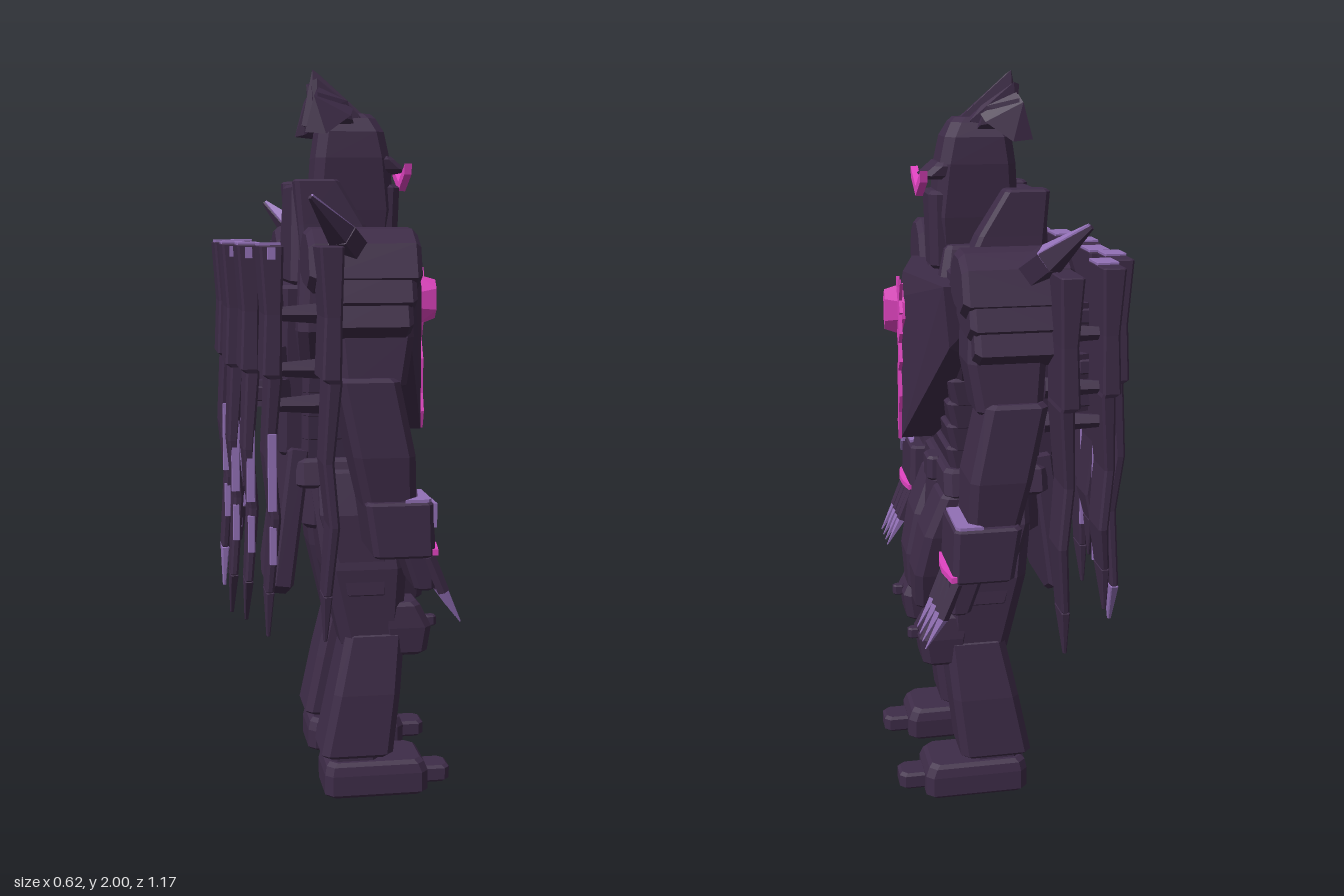
import * as THREE from 'three';
import { ConvexGeometry } from 'three/addons/geometries/ConvexGeometry.js';

const mat = (name, color) => Object.assign(new THREE.MeshStandardMaterial({ color, flatShading: true }), { name });
const V = (a) => new THREE.Vector3(...a);

// The figure faces +x, its arms spread along z.
export function createModel() {
  const armor = mat('dark purple armour', 0x3e2c48);
  const lilac = mat('lilac edges', 0x9270b6);
  const glow = mat('magenta glow', 0xe244c2);
  const model = new THREE.Group();

  function add(name, geo, m = armor) {
    const g = geo.index ? geo.toNonIndexed() : geo;
    g.computeVertexNormals();
    const mesh = new THREE.Mesh(g, m);
    mesh.name = name;
    model.add(mesh);
  }

  // Adds a part and its reflection across z = 0
  function pair(name, geo, m = armor) {
    const g = geo.index ? geo.toNonIndexed() : geo;
    const r = g.clone().scale(1, 1, -1);
    const p = r.attributes.position, a = new THREE.Vector3(), b = new THREE.Vector3();
    for (let i = 0; i < p.count; i += 3) {
      a.fromBufferAttribute(p, i + 1);
      b.fromBufferAttribute(p, i + 2);
      p.setXYZ(i + 1, b.x, b.y, b.z);
      p.setXYZ(i + 2, a.x, a.y, a.z);
    }
    add(name + 'Left', r, m);
    add(name + 'Right', g, m);
  }

  // Chamfered block through rising sections [y, x0, x1, z0, z1]
  function loft(rows, c = 0.02) {
    const inset = ([y, x0, x1, z0, z1]) => [y, x0 + c / 2, x1 - c / 2, z0 + c / 2, z1 - c / 2];
    const first = rows[0], last = rows[rows.length - 1], e = c / 2;
    const all = [inset(first), [first[0] + e, ...first.slice(1)], ...rows.slice(1, -1),
      [last[0] - e, ...last.slice(1)], inset(last)];
    const pos = [], idx = [];
    for (const [y, x0, x1, z0, z1] of all) {
      const k = Math.min(c, (x1 - x0) * 0.3, (z1 - z0) * 0.3);
      for (const [x, z] of [[x1, z0 + k], [x1, z1 - k], [x1 - k, z1], [x0 + k, z1],
        [x0, z1 - k], [x0, z0 + k], [x0 + k, z0], [x1 - k, z0]]) pos.push(x, y, z);
    }
    for (let r = 0; r < all.length - 1; r++) for (let i = 0; i < 8; i++) {
      const a = r * 8 + i, b = r * 8 + (i + 1) % 8;
      idx.push(a, a + 8, b, b, a + 8, b + 8);
    }
    const t = (all.length - 1) * 8;
    for (let i = 1; i < 7; i++) idx.push(t, t + i + 1, t + i, 0, i, i + 1);
    const g = new THREE.BufferGeometry();
    g.setAttribute('position', new THREE.Float32BufferAttribute(pos, 3));
    g.setIndex(idx);
    return g;
  }
  const box = (x0, x1, y0, y1, z0, z1, c = 0.015) => loft([[y0, x0, x1, z0, z1], [y1, x0, x1, z0, z1]], c);
  const hull = (points) => new ConvexGeometry(points.map(V));

  // Outline in (z, y), given thickness from x0 to x1
  function plateZY(points, x0, x1, bevel = 0) {
    const s = new THREE.Shape(points.map(([z, y]) => new THREE.Vector2(z, y)));
    const g = new THREE.ExtrudeGeometry(s, { depth: x1 - x0 - 2 * bevel, bevelEnabled: bevel > 0,
      bevelSize: bevel, bevelThickness: bevel, bevelOffset: -bevel, bevelSegments: 1 });
    return g.rotateY(-Math.PI / 2).translate(x1 - bevel, 0, 0);
  }

  // Outline in (x, z), given height from y0 to y1
  function slabXZ(points, y0, y1) {
    const s = new THREE.Shape(points.map(([x, z]) => new THREE.Vector2(x, -z)));
    return new THREE.ExtrudeGeometry(s, { depth: y1 - y0, bevelEnabled: false }).rotateX(-Math.PI / 2).translate(0, y0, 0);
  }

  // Tapered bar between two points
  function bar(from, to, r0, r1, sides = 5) {
    const a = V(from), b = V(to), d = b.clone().sub(a);
    const g = new THREE.CylinderGeometry(r1, r0, d.length(), sides);
    g.applyQuaternion(new THREE.Quaternion().setFromUnitVectors(V([0, 1, 0]), d.normalize()));
    return g.translate(...a.add(b).multiplyScalar(0.5).toArray());
  }

  // Legs
  pair('foot', loft([[0.005, -0.05, 0.24, 0.095, 0.265], [0.07, -0.05, 0.24, 0.09, 0.265], [0.105, -0.045, 0.23, 0.095, 0.26]]));
  pair('toe', box(0.22, 0.31, 0.02, 0.068, 0.135, 0.22));
  pair('ankle', box(-0.03, 0.1, 0.09, 0.15, 0.11, 0.24));
  pair('shin', loft([[0.12, -0.06, 0.14, 0.09, 0.268], [0.3, -0.025, 0.16, 0.09, 0.262], [0.47, 0.01, 0.175, 0.092, 0.24]], 0.02));
  pair('knee', loft([[0.4, 0.12, 0.24, 0.095, 0.235], [0.48, 0.11, 0.25, 0.09, 0.24], [0.55, 0.1, 0.22, 0.1, 0.235]]));
  pair('kneeStud', box(0.24, 0.275, 0.465, 0.495, 0.15, 0.18, 0.008));
  pair('thigh', loft([[0.42, 0, 0.17, 0.085, 0.235], [0.65, -0.05, 0.18, 0.05, 0.245], [0.9, -0.08, 0.15, 0.03, 0.2]], 0.03));
  pair('frontTasset', loft([[0.53, 0.16, 0.245, 0.015, 0.135], [0.64, 0.14, 0.25, 0.012, 0.165],
    [0.76, 0.12, 0.225, 0.015, 0.19], [0.88, 0.1, 0.18, 0.03, 0.195]], 0.02));
  pair('sideTasset', loft([[0.57, 0, 0.13, 0.19, 0.245], [0.8, -0.06, 0.13, 0.18, 0.235], [0.92, -0.06, 0.1, 0.15, 0.2]]));

  // Hips and belt
  add('hips', box(-0.1, 0.15, 0.75, 0.92, -0.18, 0.18, 0.03));
  add('codpiece', loft([[0.74, 0.12, 0.2, -0.015, 0.015], [0.89, 0.1, 0.19, -0.045, 0.045]]));
  add('belt', loft([[0.87, -0.12, 0.17, -0.2, 0.2], [0.95, -0.12, 0.17, -0.185, 0.185]], 0.02));
  add('buckle', box(0.15, 0.195, 0.88, 0.95, -0.045, 0.045));
  add('backSkirt', plateZY([[-0.18, 0.6], [-0.1, 0.56], [0.1, 0.56], [0.18, 0.6], [0.17, 0.98], [-0.17, 0.98]], -0.03, 0.03, 0.01)
    .rotateZ(-0.13).translate(-0.235, 0, 0));

  // Overlapping waist bands
  for (let i = 0; i < 4; i++) {
    const y = 0.93 + i * 0.065, w = 0.17 + i * 0.008;
    add('waistBand' + (i + 1), loft([[y, -0.1, 0.145, -w + 0.006, w - 0.006], [y + 0.08, -0.1, 0.16, -w, w]], 0.015));
  }

  // Torso
  add('torso', loft([[1.15, -0.1, 0.14, -0.17, 0.17], [1.3, -0.12, 0.16, -0.25, 0.25], [1.5, -0.11, 0.15, -0.24, 0.24]], 0.025));
  const chest = [[0.25, 1.47, 0], [0.262, 1.4, 0], [0.262, 1, 0], [0.17, 1, 0]];
  for (const s of [-1, 1]) chest.push([0.185, 1.47, 0.29 * s], [0.17, 1.31, 0.285 * s], [0.16, 1.19, 0.17 * s],
    [0, 1.47, 0.26 * s], [0.02, 1.22, 0.17 * s]);
  add('chestPlate', hull(chest));

  // Glowing crack and gem on the breastbone
  add('chestCrack', plateZY([[-0.02, 1.46], [-0.03, 1.42], [-0.05, 1.455], [-0.05, 1.43], [-0.095, 1.45], [-0.065, 1.4], [-0.085, 1.37],
    [-0.055, 1.36], [-0.07, 1.31], [-0.045, 1.28], [-0.062, 1.23], [-0.03, 1.2], [-0.045, 1.13], [-0.025, 1.08], [-0.012, 1],
    [0.005, 1.05], [-0.012, 1.1], [-0.01, 1.2], [-0.035, 1.25], [-0.015, 1.3], [0, 1.34], [0, 1.4]], 0.262, 0.271), glow);
  add('chestGem', hull([[0.25, 1.44, -0.014], [0.25, 1.295, -0.014], [0.25, 1.39, 0.012], [0.25, 1.345, 0.012], [0.25, 1.39, -0.042],
    [0.25, 1.345, -0.042], [0.305, 1.425, -0.02], [0.305, 1.315, -0.02], [0.305, 1.4, 0.002], [0.305, 1.34, 0.002],
    [0.305, 1.4, -0.034], [0.305, 1.34, -0.034]]), glow);

  // Collar and back plates
  pair('collar', loft([[1.44, -0.1, 0.13, 0.07, 0.185], [1.58, -0.11, 0.07, 0.085, 0.18], [1.7, -0.12, 0, 0.1, 0.178]], 0.012));
  pair('frontCollar', loft([[1.44, 0.06, 0.17, 0.06, 0.15], [1.55, 0.06, 0.15, 0.065, 0.12]]));
  add('backCollar', loft([[1.42, -0.13, -0.06, -0.17, 0.17], [1.69, -0.12, -0.07, -0.12, 0.12]]));
  add('backPlate', loft([[0.95, -0.16, -0.08, -0.13, 0.13], [1.42, -0.16, -0.08, -0.18, 0.18]], 0.02));

  // Head
  add('neck', box(-0.05, 0.13, 1.4, 1.6, -0.06, 0.06));
  add('head', loft([[1.47, -0.04, 0.16, -0.055, 0.055], [1.62, -0.06, 0.17, -0.075, 0.075],
    [1.76, -0.05, 0.155, -0.085, 0.085], [1.83, -0.04, 0.14, -0.08, 0.08], [1.88, -0.02, 0.12, -0.06, 0.06]], 0.025));
  add('faceMask', loft([[1.48, 0.1, 0.18, -0.06, 0.06], [1.69, 0.1, 0.185, -0.07, 0.07]]));
  add('visor', loft([[1.72, 0.1, 0.2, -0.075, 0.075], [1.765, 0.1, 0.17, -0.08, 0.08]]));
  add('glowingBrow', plateZY([[-0.092, 1.745], [-0.085, 1.715], [0, 1.672], [0.085, 1.715], [0.092, 1.745], [0, 1.698]], 0.192, 0.212), glow);

  // Crown of swept plates
  add('centreCrest', hull([[0.1, 1.87, -0.012], [0.1, 1.87, 0.012], [-0.05, 1.84, -0.025], [-0.05, 1.84, 0.025],
    [0.055, 1.91, 0], [-0.05, 2, 0], [-0.035, 1.99, 0], [-0.08, 1.85, 0]]));
  pair('innerCrest', hull([[0.09, 1.86, 0.03], [0.075, 1.87, 0.06], [0.04, 1.91, 0.045], [-0.05, 1.84, 0.03],
    [-0.05, 1.84, 0.065], [-0.06, 1.965, 0.055], [-0.045, 1.97, 0.062]]));
  pair('outerCrest', hull([[0.06, 1.84, 0.055], [0.05, 1.86, 0.08], [0.035, 1.91, 0.085], [-0.045, 1.945, 0.09],
    [-0.05, 1.93, 0.105], [-0.04, 1.85, 0.07], [-0.05, 1.88, 0.11]]));
  pair('crestHook', hull([[0.05, 1.89, 0.085], [-0.05, 1.94, 0.09], [0.04, 1.87, 0.105], [-0.06, 1.92, 0.11],
    [-0.085, 1.825, 0.115], [-0.03, 1.82, 0.127], [-0.06, 1.83, 0.105]]));

  // Layered pauldrons
  [[0, 0, -0.12, 0.165], [0.012, -0.06, -0.09, 0.15], [0.018, -0.12, -0.07, 0.14]].forEach(([dz, dy, x0, x1], i) =>
    pair('pauldronLayer' + (i + 1), plateZY([[0.245, 1.46], [0.28, 1.54], [0.33, 1.575], [0.4, 1.57], [0.455, 1.535],
      [0.485, 1.45], [0.42, 1.41], [0.33, 1.42]].map(([z, y]) => [z + dz * (z > 0.4 ? 1 : 0), y + dy]), x0, x1, 0.015)));

  // Shoulder horns, lilac on the inner and front faces
  pair('hornBase', bar([0.01, 1.5, 0.41], [-0.045, 1.56, 0.475], 0.045, 0.042));
  pair('hornTip', bar([-0.045, 1.558, 0.481], [-0.13, 1.646, 0.556], 0.04, 0.006));
  pair('hornTipFace', bar([-0.043, 1.562, 0.471], [-0.125, 1.65, 0.55], 0.038, 0.005), lilac);

  // Arms
  pair('upperArm', loft([[1.17, -0.04, 0.13, 0.31, 0.465], [1.3, -0.05, 0.15, 0.29, 0.455], [1.48, -0.05, 0.14, 0.26, 0.43]], 0.02));
  pair('forearm', loft([[0.86, 0.02, 0.155, 0.3, 0.475], [1, -0.01, 0.15, 0.295, 0.49], [1.2, -0.05, 0.11, 0.305, 0.485]], 0.02));
  pair('cuff', loft([[0.74, 0.04, 0.2, 0.29, 0.5], [0.885, 0.02, 0.195, 0.295, 0.5]], 0.014));
  add('cuffTrimRight', slabXZ([[0.145, -0.32], [0.188, -0.32], [0.19, -0.48], [0.18, -0.494], [0.12, -0.494], [0.14, -0.46]].reverse(), 0.884, 0.892), lilac);
  add('cuffTrimLeft', slabXZ([[0.18, 0.35], [0.19, 0.35], [0.19, 0.48], [0.18, 0.494], [0.12, 0.494], [0.16, 0.45]], 0.884, 0.892), lilac);
  add('cuffChip', plateZY([[0.495, 0.82], [0.48, 0.855], [0.43, 0.868], [0.43, 0.882], [0.495, 0.882]], 0.194, 0.202), lilac);
  pair('cuffGlow', slabXZ([[0.19, 0.3], [0.205, 0.3], [0.215, 0.36], [0.217, 0.42], [0.205, 0.5], [0.19, 0.5]], 0.748, 0.763), glow);
  pair('hand', loft([[0.65, 0.15, 0.205, 0.32, 0.48], [0.75, 0.12, 0.2, 0.31, 0.485]], 0.012));
  [0.328, 0.375, 0.425, 0.475].forEach((z, i) => {
    pair('finger' + i, bar([0.185, 0.74, z], [0.225, 0.645, z], 0.018, 0.016));
    pair('claw' + i, bar([0.225, 0.645, z], [0.27, 0.565, z], 0.014, 0.002), lilac);
  });

  // Hanging wing blades: near z, far z, x centre, tip height, sideways sway, lilac span on top
  const blades = [[0.43, 0.585, -0.08, 0.54, -0.008], [0.3, 0.457, -0.212, 0.52, -0.01, 0.325, 0.405],
    [0.16, 0.31, -0.255, 0.52, 0.012, 0.2, 0.3], [0.01, 0.16, -0.283, 0.5, 0.01, 0.04, 0.115],
    [-0.16, -0.01, -0.262, 0.64, -0.01, -0.155, -0.06], [-0.31, -0.16, -0.283, 0.5, -0.012, -0.24, -0.165],
    [-0.457, -0.3, -0.22, 0.6, 0.01, -0.39, -0.305], [-0.585, -0.43, -0.08, 0.54, 0.008]];
  blades.forEach(([z0, z1, x, tip, sway, cap0, cap1], i) => {
    const zc = (z0 + z1) / 2;
    const row = (y, hx, hz, dx, d) => [y, x + dx - hx, x + dx + hx, zc + sway * d - hz, zc + sway * d + hz];
    add('wingBlade' + i, loft([row(tip + 0.12, 0.011, 0.042, -0.004, 1), row(0.84, 0.013, 0.056, 0.01, -0.2),
      row(1, 0.014, 0.062, -0.005, 1), row(1.2, 0.018, 0.073, 0.008, 0), row(1.21, 0.024, 0.077, 0, 0),
      row(1.36, 0.022, 0.074, 0.004, 0), row(1.53, 0.03, 0.078, 0, 0)], 0.006));
    add('wingTip' + i, loft([row(tip, 0.005, 0.006, -0.008, -1), row(tip + 0.12, 0.011, 0.042, -0.004, 1)], 0.003), i === 5 ? lilac : armor);
    if (i === 0 || i === 7) return;
    const zEdge = zc + sway * 0.5 + 0.056;
    add('wingCap' + i, box(x - 0.029, x + 0.029, 1.528, 1.536, cap0, cap1, 0.002), lilac);
    add('wingTopEdge' + i, box(x - 0.012, x + 0.01, 1.495, 1.525, z1 - 0.004, z1 + 0.003, 0.002), lilac);
    add('wingEdge' + i, box(x - 0.011, x + 0.012, 0.86, 1.06, zEdge, zEdge + 0.009, 0.002), lilac);
    add('wingLowEdge' + i, box(x - 0.007, x + 0.012, 0.72, 0.82, zc + 0.046, zc + 0.055, 0.002), lilac);
  });

  // Curved yokes and brackets that carry the blades
  const yoke = [[-0.235, 0.165], [-0.18, 0.185], [-0.13, 0.15], [-0.12, 0], [-0.13, -0.15], [-0.18, -0.185],
    [-0.235, -0.165], [-0.19, -0.1], [-0.18, 0], [-0.19, 0.1]];
  for (const y of [1.13, 1.22, 1.36]) {
    add('wingYoke', slabXZ(yoke, y - 0.035, y + 0.035));
    pair('wingBracket', box(-0.25, -0.2, y - 0.02, y + 0.02, 0.1, 0.18, 0.008));
    pair('armBracket', bar([-0.06, y, 0.38], [-0.2, y, 0.4], 0.03, 0.018));
  }
  return model;
}
